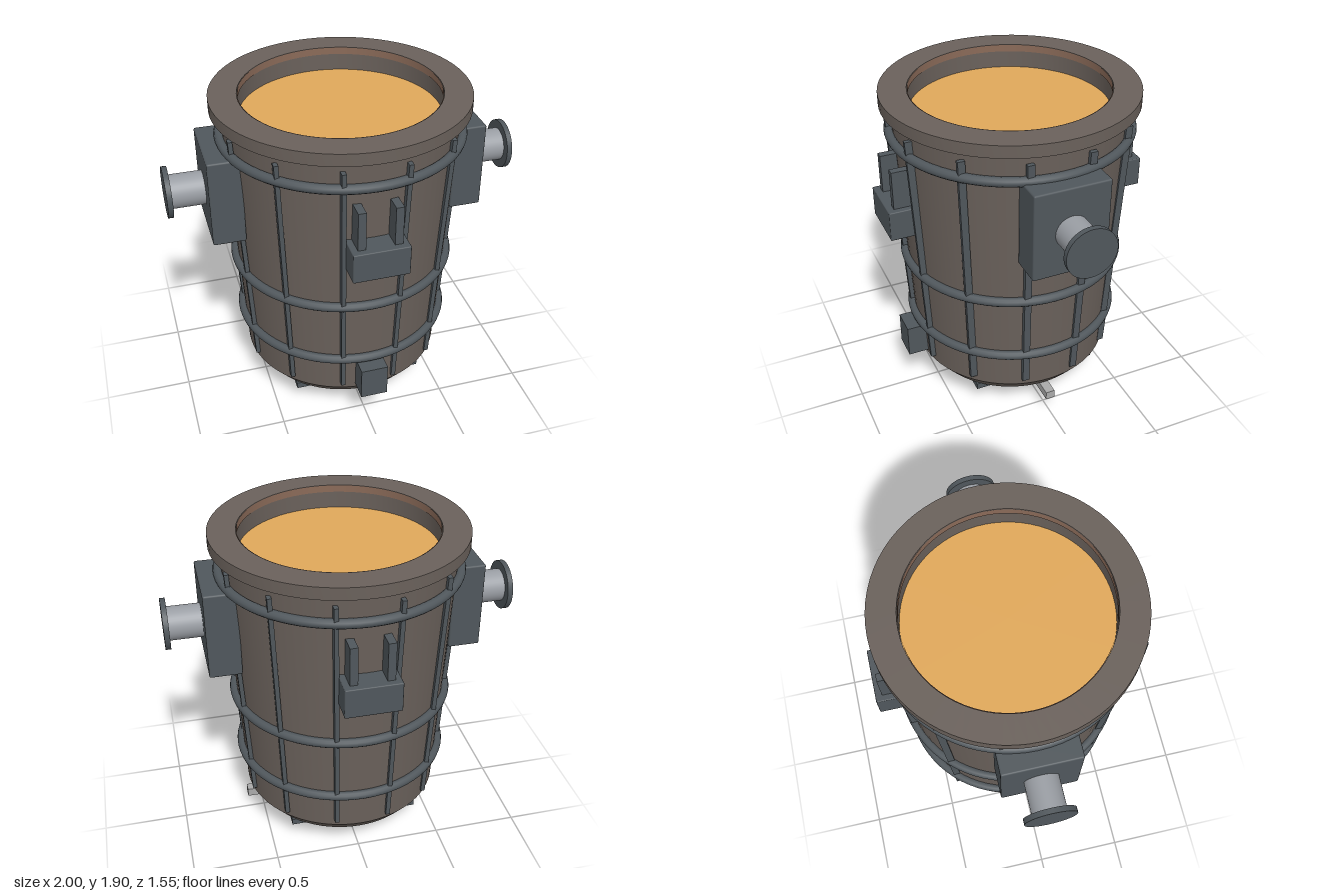
import * as THREE from 'three';
import { toCreasedNormals } from 'three/addons/utils/BufferGeometryUtils.js';
import { RoundedBoxGeometry } from 'three/addons/geometries/RoundedBoxGeometry.js';

const mat = (color) => new THREE.MeshStandardMaterial({ color });

export function createModel() {
  const model = new THREE.Group();
  const shellMat = mat(0x6a615b), steel = mat(0x50575c), lightSteel = mat(0x9a9ea4);
  const plateMat = mat(0x80868a), armMat = mat(0xaaaaaa), ceramic = mat(0xb8a994);
  const moltenMat = mat(0xe0a85a), liningMat = mat(0x8a6a58);
  liningMat.side = THREE.DoubleSide;

  const add = (name, geometry, material, x = 0, y = 0, z = 0, parent = model) => {
    const mesh = new THREE.Mesh(geometry, material);
    mesh.name = name;
    mesh.position.set(x, y, z);
    parent.add(mesh);
    return mesh;
  };
  // Box given by its extents on each axis
  const box = (name, material, [x0, x1], [y0, y1], [z0, z1], round = 0, parent = model) => {
    const s = [x1 - x0, y1 - y0, z1 - z0];
    const g = round ? new RoundedBoxGeometry(...s, 2, round) : new THREE.BoxGeometry(...s);
    return add(name, g, material, (x0 + x1) / 2, (y0 + y1) / 2, (z0 + z1) / 2, parent);
  };

  // Tapered vessel with chamfered base, top flange and inner wall
  const profile = [
    [0, 0.17], [0.52, 0.17], [0.583, 0.25], [0.66, 1.83], [0.717, 1.83],
    [0.717, 1.9], [0.56, 1.9], [0.56, 1.72], [0, 1.72],
  ].map(([r, y]) => new THREE.Vector2(r, y));
  add('vesselShell', toCreasedNormals(new THREE.LatheGeometry(profile, 72), 0.4), shellMat);
  add('innerLip', new THREE.CylinderGeometry(0.556, 0.556, 0.04, 72, 1, true), liningMat, 0, 1.879, 0);
  const melt = add('moltenSurface', new THREE.CircleGeometry(0.56, 72), moltenMat, 0, 1.76, 0);
  melt.rotation.x = -Math.PI / 2;

  // Hoops around the shell
  for (const [y, r] of [[0.495, 0.608], [0.892, 0.628], [1.675, 0.672]]) {
    const hoop = add('hoop', new THREE.TorusGeometry(r, 0.027, 12, 72), steel, 0, y, 0);
    hoop.rotation.x = Math.PI / 2;
  }

  // Twelve ribs, sheared so they follow the taper
  for (let i = 0; i < 12; i++) {
    const a = (15 + 30 * i) * Math.PI / 180;
    const g = new THREE.BoxGeometry(0.025, 1.48, 0.04);
    const p = g.attributes.position;
    for (let k = 0; k < p.count; k++) {
      const r = p.getY(k) > 0 ? 0.673 : 0.59;
      p.setX(k, p.getX(k) + r * Math.sin(a));
      p.setZ(k, p.getZ(k) + r * Math.cos(a));
    }
    g.computeVertexNormals();
    add('rib', g, steel, 0, 1.03, 0);
  }

  // Trunnions on both sides
  for (const side of [1, -1]) {
    const trunnion = new THREE.Group();
    trunnion.name = side > 0 ? 'leftTrunnion' : 'rightTrunnion';
    trunnion.rotation.y = side > 0 ? 0 : Math.PI;
    model.add(trunnion);
    box('trunnionBlock', steel, [0.6, 0.785], [1.16, 1.67], [-0.217, 0.217], 0.01, trunnion);
    const shaft = add('trunnionShaft', new THREE.CylinderGeometry(0.095, 0.095, 0.22, 40), lightSteel, 0.87, 1.413, 0, trunnion);
    const disc = add('trunnionDisc', new THREE.CylinderGeometry(0.143, 0.143, 0.03, 48), steel, 0.985, 1.413, 0, trunnion);
    shaft.rotation.z = disc.rotation.z = Math.PI / 2;
  }

  // Lifting brackets on front and back
  for (const turn of [0, Math.PI]) {
    const bracket = new THREE.Group();
    bracket.name = turn ? 'backBracket' : 'frontBracket';
    bracket.rotation.y = turn;
    model.add(bracket);
    box('bracketBlock', steel, [-0.157, 0.157], [1.175, 1.35], [0.6, 0.773], 0.006, bracket);
    for (const x of [-0.1, 0.1])
      box('bracketProng', steel, [x - 0.022, x + 0.022], [1.34, 1.573], [0.62, 0.735], 0, bracket);
  }

  // Small box low on the front
  box('frontBox', steel, [-0.078, 0.078], [0.277, 0.472], [0.56, 0.7]);

  // Feet under the base
  for (const x of [-0.285, 0.285])
    for (const z of [-0.285, 0.285])
      box('footPad', steel, [x - 0.098, x + 0.098], [0.136, 0.175], [z - 0.098, z + 0.098]);

  // Slide gate with arm and nozzle, and the plug beside it
  box('slideGate', plateMat, [0.1, 0.38], [0.093, 0.158], [-0.113, 0.113], 0.006);
  box('gateArm', armMat, [0.3, 0.6], [0.105, 0.157], [-0.027, 0.027]);
  add('nozzle', new THREE.CylinderGeometry(0.03, 0.03, 0.12, 32), ceramic, 0.24, 0.06, 0);
  add('gasPlug', new THREE.CylinderGeometry(0.04, 0.04, 0.09, 32), plateMat, -0.24, 0.135, 0);

  return model;
}
